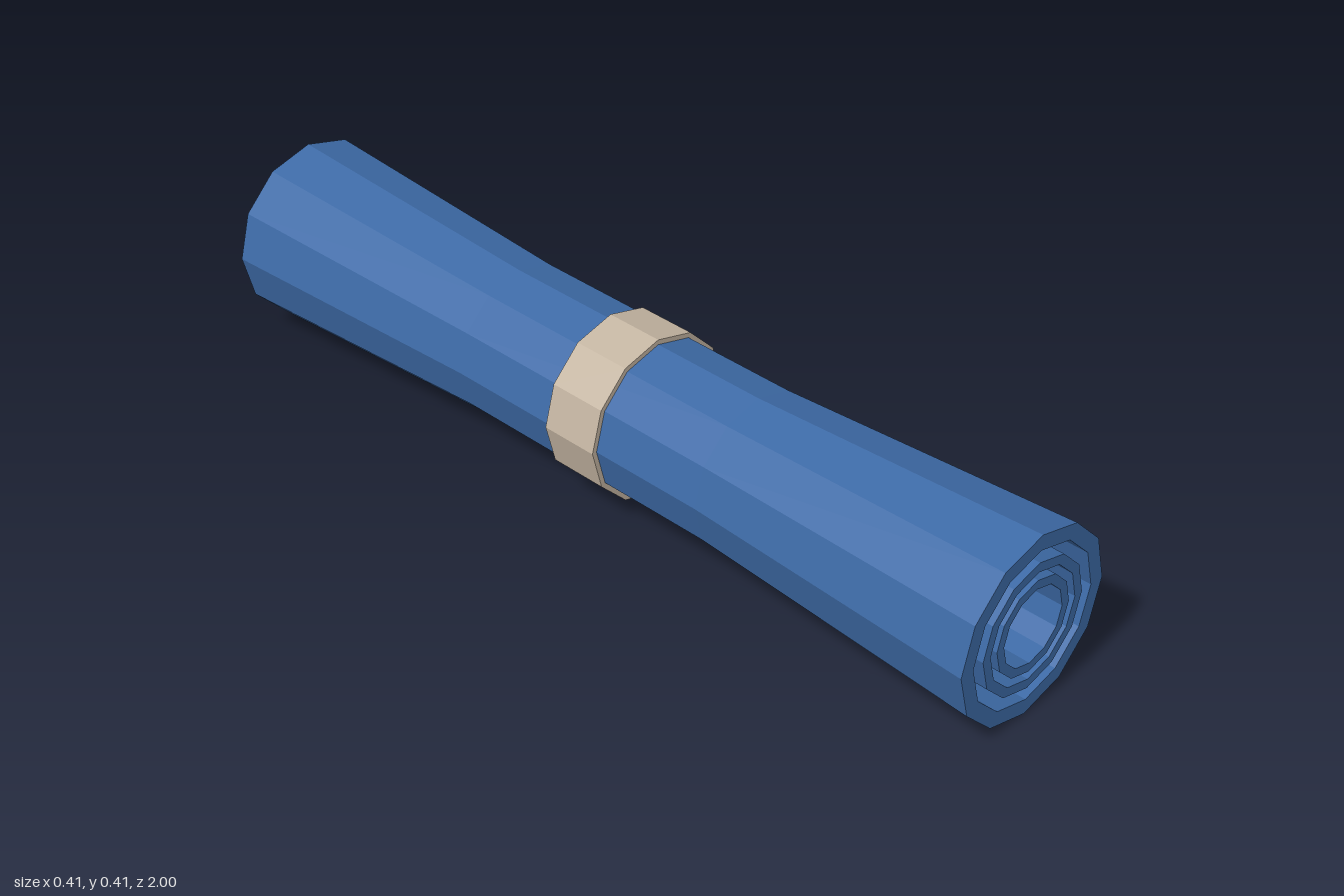
import * as THREE from 'three';

const SIDES = 12;
const AXIS_HEIGHT = 0.204;

const fabric = new THREE.MeshStandardMaterial({ color: 0x3d6aa6, flatShading: true });
const tie = new THREE.MeshStandardMaterial({ color: 0xc4b5a2, flatShading: true });

// Faceted hollow tube along z. Each wall is a list of [radius, z], back to front.
function tube(name, outer, inner, material) {
  const loop = [...outer, ...[...inner].reverse(), outer[0]];
  const geometry = new THREE.LatheGeometry(loop.map(([r, z]) => new THREE.Vector2(r, z)), SIDES);
  geometry.rotateX(Math.PI / 2);
  const mesh = new THREE.Mesh(geometry, material);
  mesh.name = name;
  mesh.position.y = AXIS_HEIGHT;
  return mesh;
}

// Wall of constant radius
const straight = (r, halfLength) => [[r, -halfLength], [r, halfLength]];

export function createModel() {
  const model = new THREE.Group();
  model.name = 'rolledMat';

  // Outer layer, flared at both ends and pinched at the middle
  const flared = [[0.204, -1], [0.171, -0.33], [0.171, 0.33], [0.204, 1]];
  const lining = [[0.17, -1], [0.168, -0.33], [0.168, 0.33], [0.17, 1]];
  model.add(tube('outerLayer', flared, lining, fabric));

  // Inner layers of the roll
  model.add(tube('middleLayer', straight(0.143, 1), straight(0.122, 1), fabric));
  model.add(tube('innerLayer', straight(0.104, 1), straight(0.084, 1), fabric));

  // Band round the middle
  model.add(tube('band', straight(0.182, 0.066), straight(0.17, 0.066), tie));

  return model;
}
